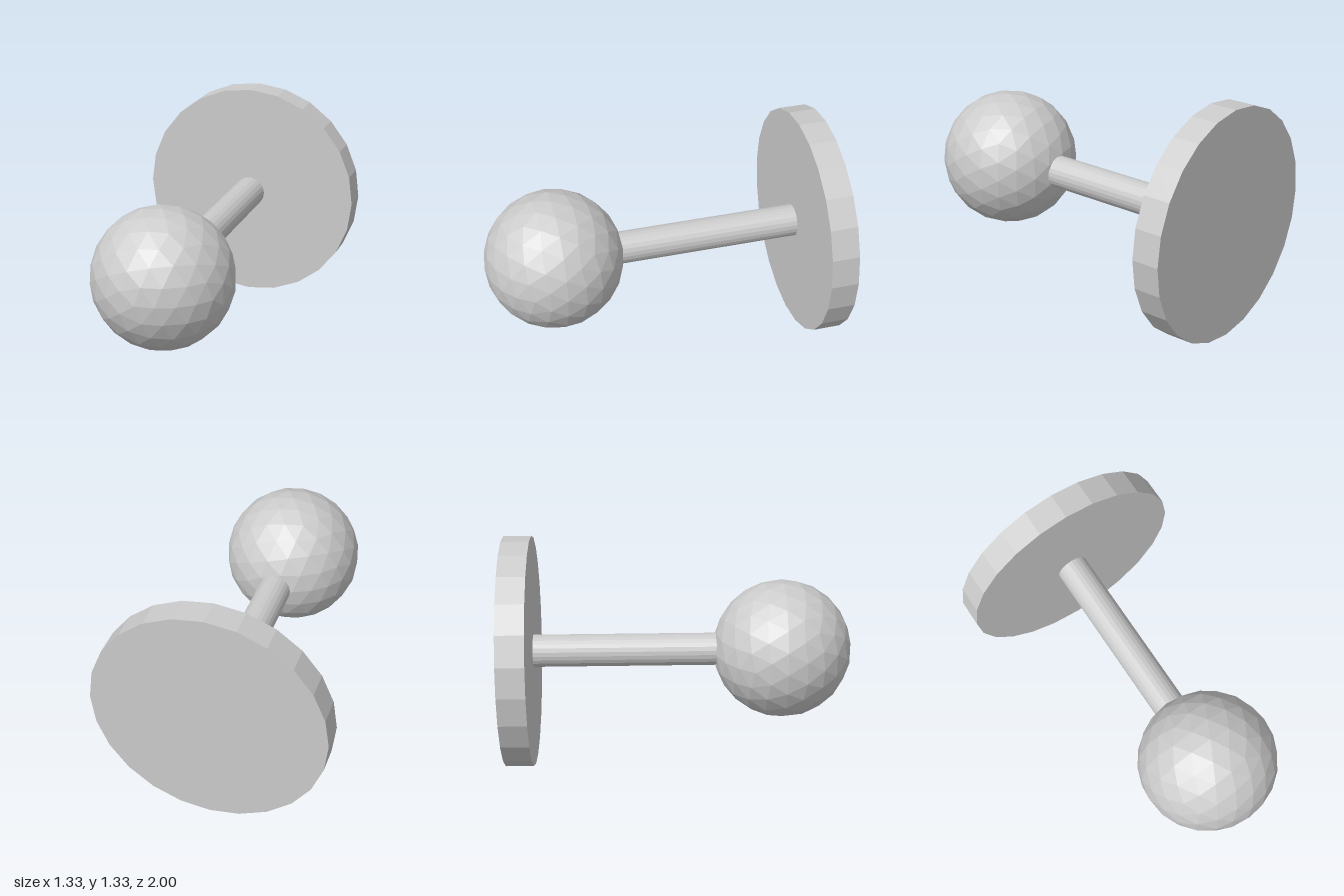
import * as THREE from 'three';

const CENTER_Y = 0.665;

export function createModel() {
  const group = new THREE.Group();
  const material = new THREE.MeshStandardMaterial({ color: 0xcccccc, flatShading: true });

  const add = (name, geometry, z) => {
    const mesh = new THREE.Mesh(geometry, material);
    mesh.name = name;
    mesh.position.set(0, CENTER_Y, z);
    group.add(mesh);
  };

  // Cylinder lying along z between two depths
  const addCylinder = (name, radius, back, front) => {
    const geometry = new THREE.CylinderGeometry(radius, radius, front - back, 24);
    geometry.rotateX(Math.PI / 2);
    add(name, geometry, (back + front) / 2);
  };

  // Faceted ball: icosahedron split in half twice, with a corner pointing forward
  const coarse = Array.from(new THREE.IcosahedronGeometry(1, 1).attributes.position.array);
  const faces = Array.from({ length: coarse.length / 3 }, (_, i) => i);
  const ball = new THREE.PolyhedronGeometry(coarse, faces, 0.4, 1);
  ball.rotateX(Math.atan(2 / (1 + Math.sqrt(5))));
  ball.rotateZ(Math.PI / 2);
  add('ballKnob', ball, 0.6);

  // Stem, sunk a little into the ball and the plate
  addCylinder('stem', 0.094, -0.86, 0.3);

  // Round wall plate
  addCylinder('backPlate', 0.665, -1, -0.84);

  return group;
}
